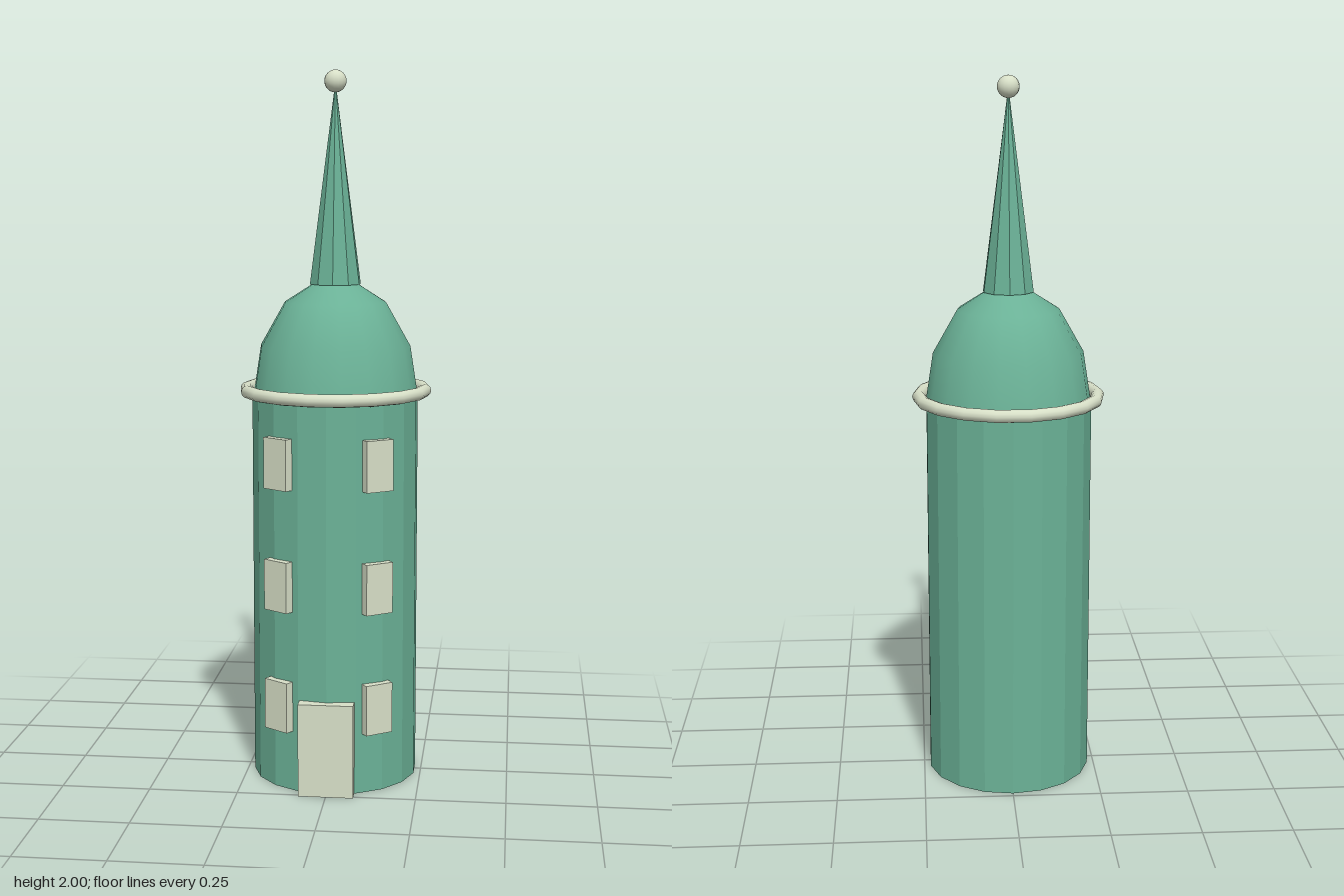
import * as THREE from 'three';

export function createModel() {
  const tower = new THREE.Group();
  tower.name = 'tower';

  const green = new THREE.MeshStandardMaterial({ color: 0x6bb297 });
  green.name = 'sea green';
  const cream = new THREE.MeshStandardMaterial({ color: 0xd7dfc7 });
  cream.name = 'pale cream';

  function add(name, geometry, material, x = 0, y = 0, z = 0) {
    const mesh = new THREE.Mesh(geometry, material);
    mesh.name = name;
    mesh.position.set(x, y, z);
    tower.add(mesh);
    return mesh;
  }
  // Separate the faces so that each one is shaded flat
  function faceted(geometry) {
    const flat = geometry.toNonIndexed();
    flat.computeVertexNormals();
    return flat;
  }

  const SIDES = 18;
  const RADIUS = 0.235;

  // Round shaft
  add('shaft', faceted(new THREE.CylinderGeometry(RADIUS, RADIUS, 1.1, SIDES)), green, 0, 0.55);

  // Smooth dome with corners on the x axis
  const profile = [[RADIUS, 1.09], [0.212, 1.238], [0.143, 1.36], [0.06, 1.413], [0, 1.42]]
    .map(([r, y]) => new THREE.Vector2(r, y));
  add('dome', new THREE.LatheGeometry(profile, SIDES), green).rotation.y = Math.PI / 2;

  // Ring where the dome meets the shaft
  add('ring', new THREE.TorusGeometry(0.2535, 0.018, 12, SIDES), cream, 0, 1.112).rotation.x = Math.PI / 2;

  // Faceted spire and its ball
  add('spire', faceted(new THREE.ConeGeometry(0.073, 0.56, 10)), green, 0, 1.69);
  add('ball', new THREE.SphereGeometry(0.031, 16, 12), cream, 0, 1.969);

  // Door
  add('door', new THREE.BoxGeometry(0.154, 0.265, 0.05), cream, 0, 0.1325, 0.235);

  // Two columns of windows, turned to face outward
  const windowShape = new THREE.BoxGeometry(0.083, 0.143, 0.03);
  for (const side of [-1, 1]) {
    const angle = side * 0.61;
    for (const y of [0.243, 0.586, 0.929]) {
      const r = 0.239;
      add(side > 0 ? 'leftWindow' : 'rightWindow', windowShape, cream,
        Math.sin(angle) * r, y, Math.cos(angle) * r).rotation.y = angle;
    }
  }

  return tower;
}
